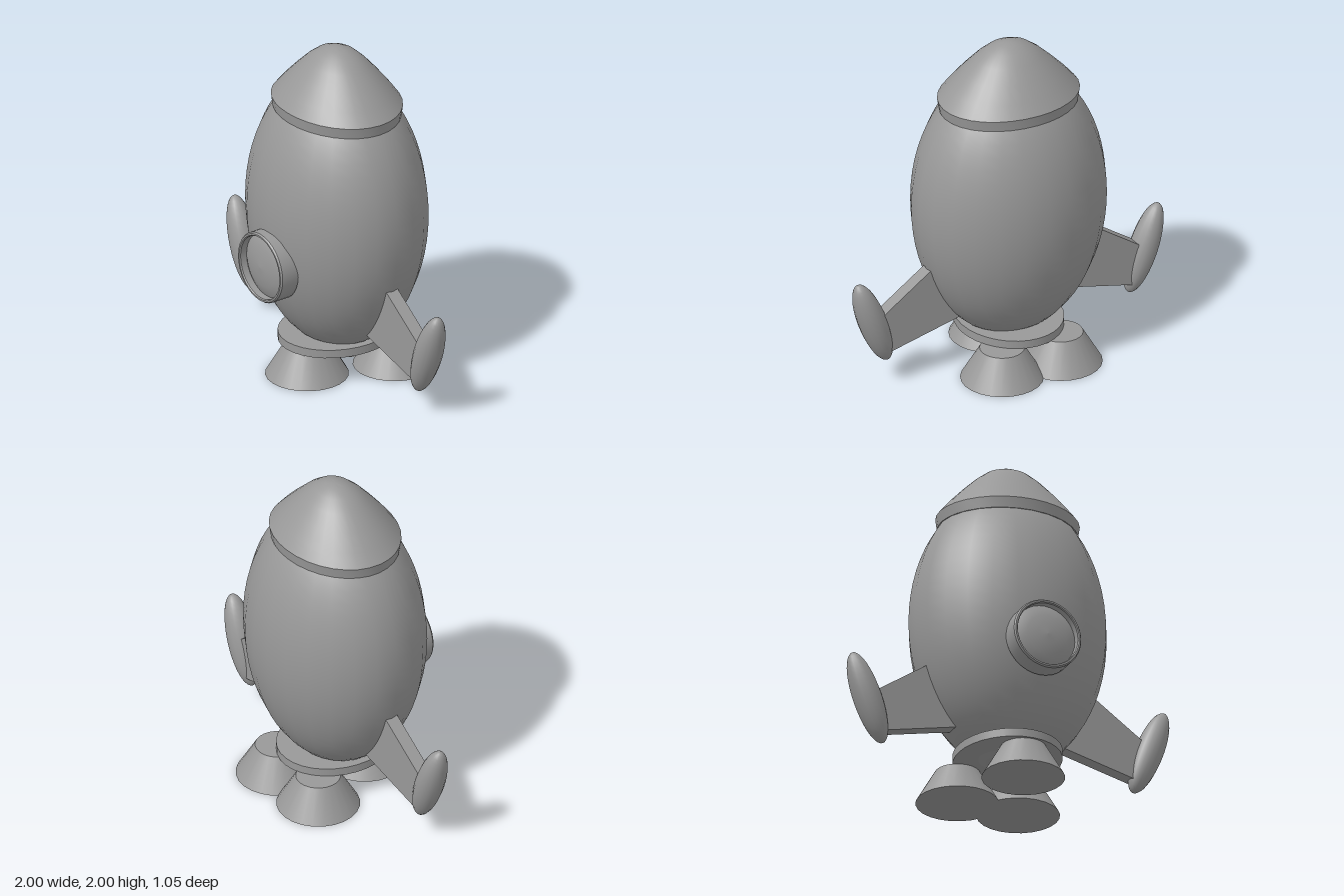
import * as THREE from 'three';
import { toCreasedNormals } from 'three/addons/utils/BufferGeometryUtils.js';

const hull = new THREE.MeshStandardMaterial({ color: 0x999999 });
hull.name = 'hull grey';

const MID_Z = -0.02; // axis of the hull

function part(name, geometry, parent) {
  const mesh = new THREE.Mesh(geometry, hull);
  mesh.name = name;
  parent.add(mesh);
  return mesh;
}

const lathe = (points, segments) =>
  new THREE.LatheGeometry(points.map(([r, y]) => new THREE.Vector2(r, y)), segments);

// Oval lathe whose rim dips slightly towards the sides
function noseLathe(points) {
  const g = lathe(points, 32);
  const p = g.attributes.position;
  for (let i = 0; i < p.count; i++) {
    const y = p.getY(i), z = p.getZ(i);
    p.setXYZ(i, p.getX(i), Math.min(2, y + 0.06 * z * z), z * 0.82);
  }
  g.computeVertexNormals();
  return toCreasedNormals(g, 0.6);
}

export function createModel() {
  const rocket = new THREE.Group();
  rocket.name = 'rocket';

  // Egg-shaped hull
  const body = part('body', new THREE.SphereGeometry(1, 24, 32), rocket);
  body.scale.set(0.58, 0.85, 0.485);
  body.position.set(0, 1.0, MID_Z);

  // Nose cap with its rim band
  const nose = part('noseCap', noseLathe([
    [0.36, 1.605], [0.412, 1.605], [0.422, 1.67], [0.36, 1.745], [0.28, 1.83],
    [0.2, 1.908], [0.13, 1.962], [0.065, 1.99], [0.03, 1.997], [0, 2.0],
  ]), rocket);
  nose.position.z = MID_Z;

  // Porthole: bevelled ring and domed glass, turned to face forward
  const porthole = new THREE.Group();
  porthole.name = 'porthole';
  porthole.position.set(0, 0.76, 0);
  porthole.rotation.x = Math.PI / 2;
  rocket.add(porthole);
  part('portholeRing', toCreasedNormals(lathe([
    [0.18, 0.405], [0.21, 0.405], [0.21, 0.515], [0.203, 0.525],
    [0.193, 0.525], [0.188, 0.518], [0.188, 0.405],
  ], 32), 0.5), porthole);
  part('portholeGlass', lathe([
    [0.19, 0.475], [0.16, 0.491], [0.12, 0.505], [0.06, 0.516], [0, 0.52],
  ], 32), porthole);

  // Oval base plate
  const base = part('basePlate', new THREE.CylinderGeometry(0.303, 0.303, 0.05, 32), rocket);
  base.scale.z = 0.352 / 0.303;
  base.position.set(0, 0.213, MID_Z);

  // Three flared thrusters
  for (const [x, z] of [[0, 0.19], [0.19, -0.285], [-0.19, -0.285]]) {
    part('thruster', new THREE.CylinderGeometry(0.128, 0.238, 0.19, 24), rocket)
      .position.set(x, 0.095, z);
  }

  // Side fins with streamlined pods
  const finShape = new THREE.Shape([
    [0.25, 0.341], [0.8, 0.21], [0.87, 0.432], [0.4, 0.754],
  ].map(([x, y]) => new THREE.Vector2(x, y)));
  for (const [side, turn] of [['left', 0], ['right', Math.PI]]) {
    const wing = new THREE.Group();
    wing.name = side + 'Wing';
    wing.position.z = MID_Z;
    wing.rotation.y = turn;
    rocket.add(wing);
    const fin = new THREE.ExtrudeGeometry(finShape, { depth: 0.08, bevelEnabled: false });
    part(side + 'Fin', fin, wing).position.z = -0.04;
    const pod = part(side + 'Pod', new THREE.SphereGeometry(1, 16, 20), wing);
    pod.scale.set(0.083, 0.28, 0.085);
    pod.rotation.z = -0.35;
    pod.position.set(0.878, 0.41, turn ? -0.006 : 0.006);
  }

  return rocket;
}
